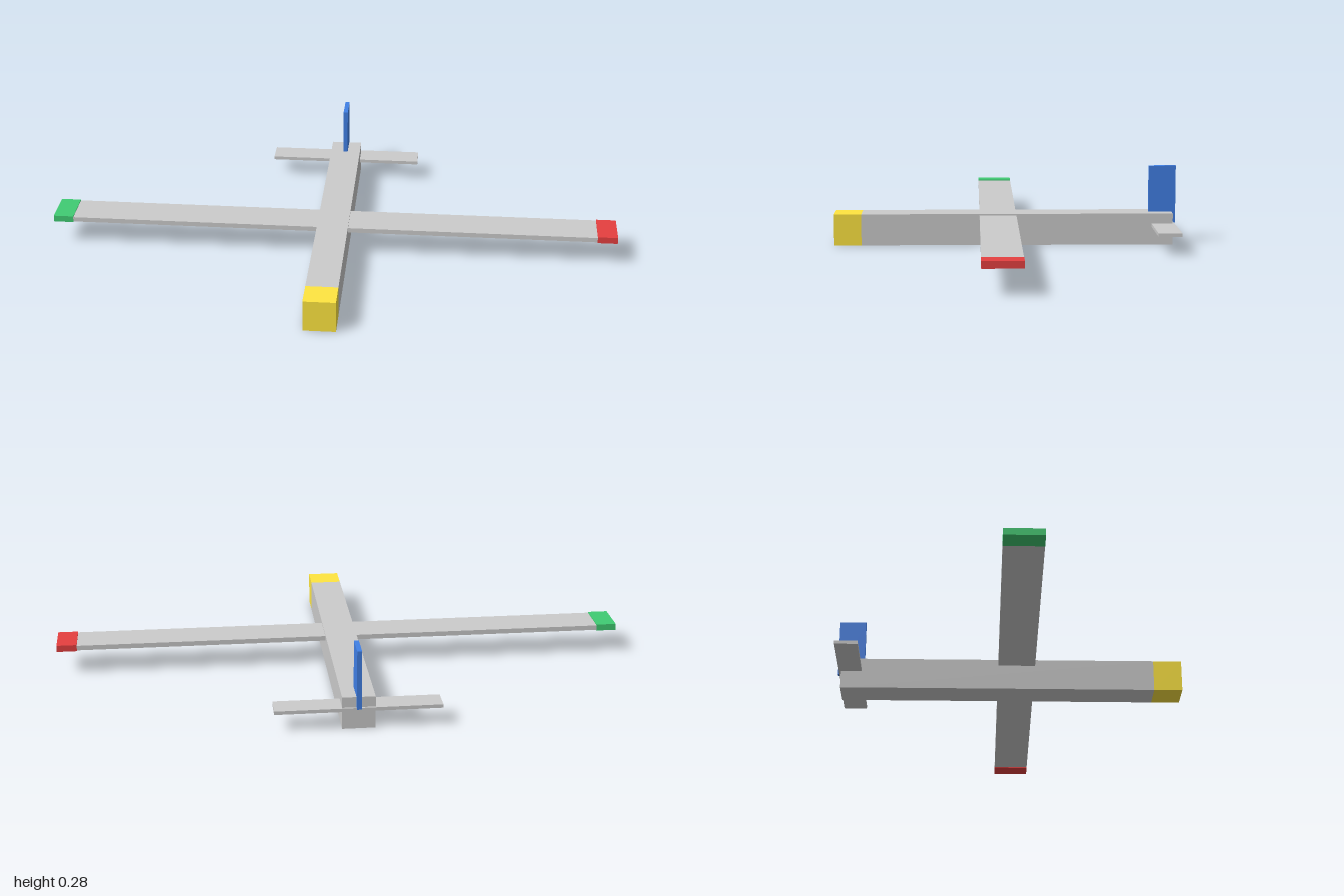
import * as THREE from 'three';

export function createModel() {
  const model = new THREE.Group();
  model.name = 'glider';
  const paint = (color) => new THREE.MeshStandardMaterial({ color, flatShading: true });
  const grey = paint(0xcccccc);

  // Box given by its [min, max] extent along each axis
  function block(name, [x0, x1], [y0, y1], [z0, z1], material) {
    const mesh = new THREE.Mesh(new THREE.BoxGeometry(x1 - x0, y1 - y0, z1 - z0), material);
    mesh.position.set((x0 + x1) / 2, (y0 + y1) / 2, (z0 + z1) / 2);
    mesh.name = name;
    model.add(mesh);
  }

  // Square-section body with a coloured nose
  const width = [-0.055, 0.055], height = [0, 0.111];
  block('fuselage', width, height, [-0.594, 0.509], grey);
  block('nose', width, height, [0.509, 0.608], paint(0xffe640));

  // Wing through the body, with slightly thicker tips
  const chord = [-0.039, 0.091], tipHeight = [0.086, 0.109];
  block('wing', [-0.93, 0.93], [0.089, 0.106], chord, grey);
  block('leftWingTip', [0.93, 1], tipHeight, chord, paint(0xe64040));
  block('rightWingTip', [-1, -0.93], tipHeight, chord, paint(0x40cc73));

  // Tail surfaces
  block('tailplane', [-0.277, 0.277], [0.063, 0.075], [-0.601, -0.519], grey);
  block('fin', [-0.008, 0.008], [0.072, 0.276], [-0.608, -0.512], paint(0x4080e6));

  return model;
}
